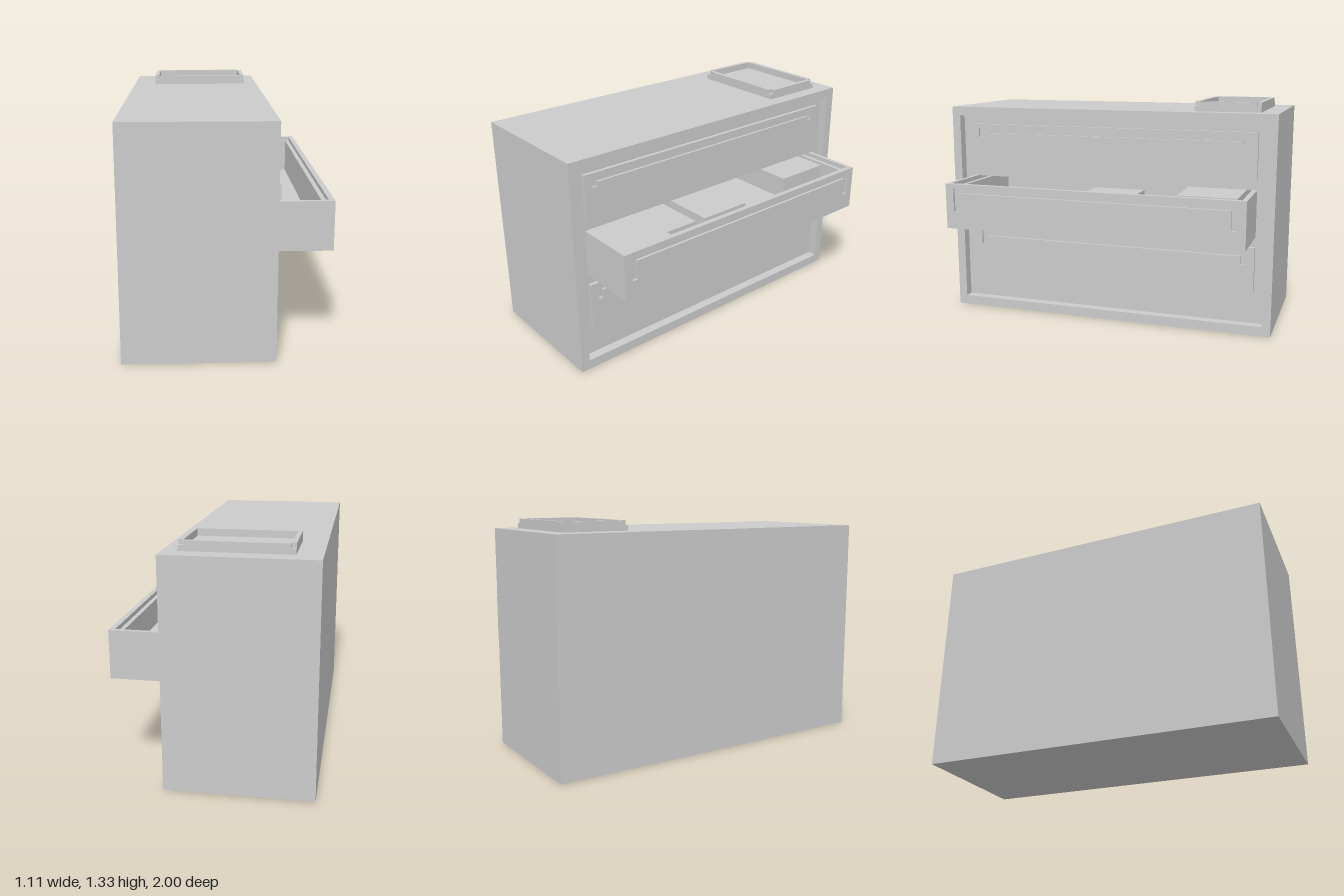
import * as THREE from 'three';

const mat = new THREE.MeshStandardMaterial({ color: 0xcccccc, flatShading: true });

// Box given by its minimum and maximum on each axis
function box(parent, name, x0, x1, y0, y1, z0, z1) {
  const m = new THREE.Mesh(new THREE.BoxGeometry(x1 - x0, y1 - y0, z1 - z0), mat);
  m.position.set((x0 + x1) / 2, (y0 + y1) / 2, (z0 + z1) / 2);
  m.name = name;
  parent.add(m);
}

const rect = (w, y0, y1) => [[-w, y0], [w, y0], [w, y1], [-w, y1]].map(p => new THREE.Vector2(...p));

// Upright plate facing +x, with holes
function plate(parent, name, x0, x1, outline, holes) {
  const shape = new THREE.Shape(outline);
  holes.forEach(h => shape.holes.push(new THREE.Path(h)));
  const g = new THREE.ExtrudeGeometry(shape, { depth: x1 - x0, bevelEnabled: false });
  g.rotateY(Math.PI / 2);
  g.translate(x0, 0, 0);
  const m = new THREE.Mesh(g, mat);
  m.name = name;
  parent.add(m);
}

// Grip groove: a long slot with a short leg down at each end
function grip(top, leg) {
  const a = 0.84, b = 0.81, y = top - 0.03;
  return [[-a, top - leg], [-b, top - leg], [-b, y], [b, y], [b, top - leg], [a, top - leg], [a, top], [-a, top]]
    .map(p => new THREE.Vector2(...p));
}

// Open-topped drawer with a stepped rim and a grooved front
function drawer(name, front, y0, leg) {
  const g = new THREE.Group();
  g.name = name;
  const y1 = y0 + 0.268, back = front - 0.72, w = 0.89, ledge = y1 - 0.025;
  plate(g, 'drawerFront', front - 0.015, front, rect(w, y0, y1), [grip(y1 - 0.025, leg)]);
  box(g, 'frontBacking', front - 0.03, front - 0.015, y0, y1, -w, w);
  box(g, 'frontLedge', front - 0.055, front - 0.03, y0, ledge, -0.865, 0.865);
  box(g, 'drawerFloor', back, front - 0.055, y0, y0 + 0.03, -0.84, 0.84);
  box(g, 'drawerBack', back - 0.03, back, y0, y1, -w, w);
  for (const s of [-1, 1]) {
    const side = (n, a, b, top) =>
      box(g, n, back, front - 0.03, y0, top, Math.min(s * a, s * b), Math.max(s * a, s * b));
    side('drawerSide', 0.865, w, y1);
    side('sideLedge', 0.84, 0.865, ledge);
  }
  return g;
}

export function createModel() {
  const model = new THREE.Group();

  // Cabinet shell, with the drawer panel set back inside its frame
  const cabinet = new THREE.Group();
  cabinet.name = 'cabinet';
  const opening = rect(0.948, 0.057, 1.218);
  plate(cabinet, 'cabinetShell', -0.53, 0.255, rect(1, 0, 1.272), [opening]);
  box(cabinet, 'cabinetBack', -0.555, -0.53, 0, 1.272, -1, 1);
  const rows = [0.243, 0.572, 0.898];
  plate(cabinet, 'recessedPanel', 0.18, 0.2, opening, rows.map(y => rect(0.89, y, y + 0.268)));
  model.add(cabinet);

  // Two closed drawers and the open middle one
  model.add(drawer('lowerDrawer', 0.222, rows[0], 0.08));
  model.add(drawer('middleDrawer', 0.555, rows[1], 0.14));
  model.add(drawer('upperDrawer', 0.222, rows[2], 0.055));

  // Folded contents of the open drawer: front x, z range, top
  const contents = new THREE.Group();
  contents.name = 'drawerContents';
  [[0.36, -0.81, -0.465, 0.815], [0.385, -0.435, -0.085, 0.7], [0.36, -0.14, 0.185, 0.75],
    [0.28, 0.185, 0.4, 0.701], [0.385, 0.4, 0.835, 0.701]]
    .forEach(([x, z0, z1, top]) => box(contents, 'foldedStack', -0.1, x, 0.6, top, z0, z1));
  model.add(contents);

  // Shallow tray on top, its rim notched at the corners
  const tray = new THREE.Group();
  tray.name = 'tray';
  const [x0, x1, z0, z1, t, y, step, top] = [-0.42, 0.172, -0.893, -0.515, 0.025, 1.272, 1.302, 1.327];
  box(tray, 'trayFloor', x0 + t, x1 - t, y, 1.287, z0 + t, z1 - t);
  for (const [a, b] of [[x0, x0 + t], [x1 - t, x1]]) {
    box(tray, 'trayEnd', a, b, y, step, z0, z1);
    box(tray, 'trayEndRim', a, b, step, top, z0 + t, z1 - t);
  }
  for (const [a, b] of [[z0, z0 + t], [z1 - t, z1]]) {
    box(tray, 'traySide', x0 + t, x1 - t, y, top, a, b);
  }
  model.add(tray);

  return model;
}
